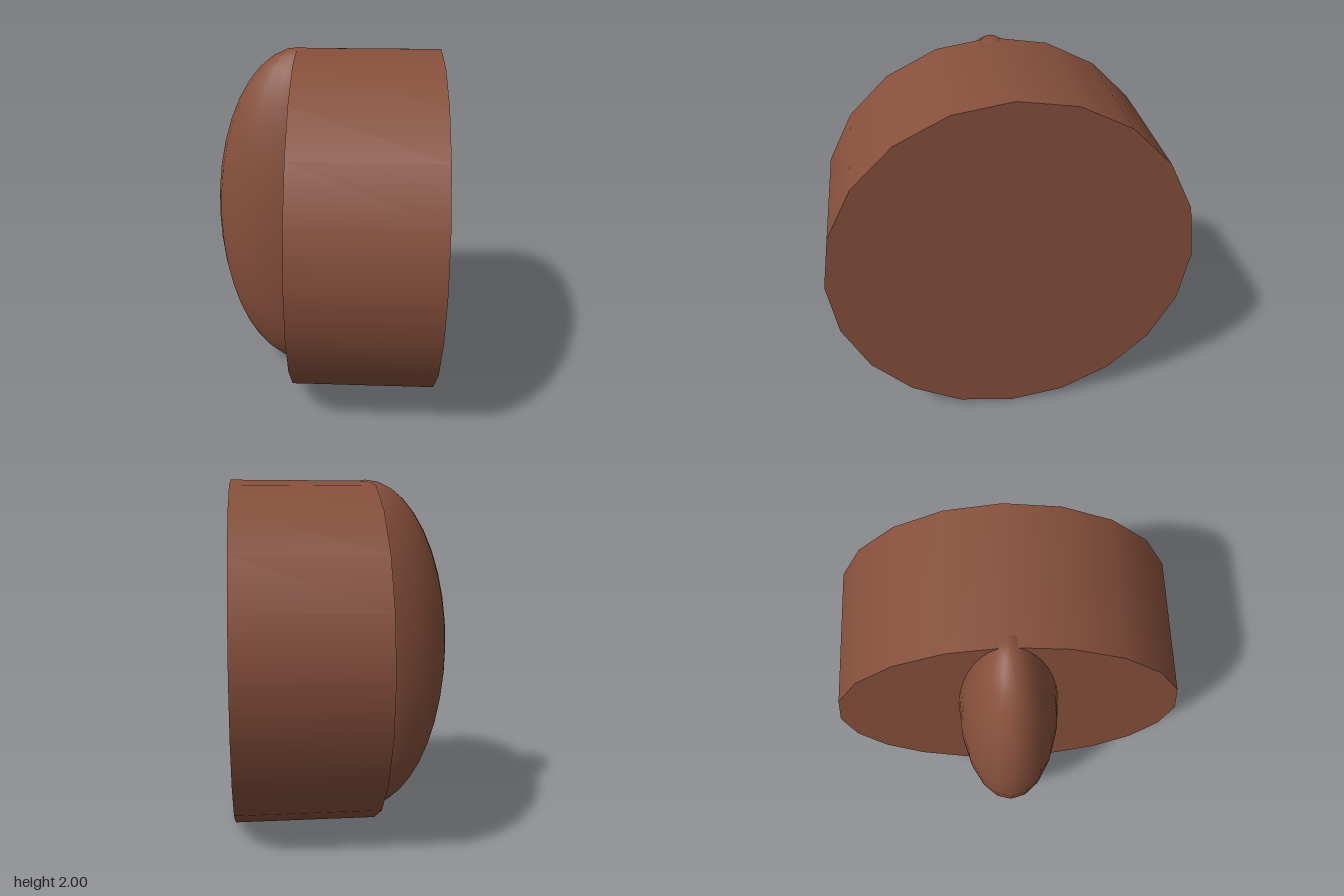
import * as THREE from 'three';

export function createModel() {
  const model = new THREE.Group();
  const brown = new THREE.MeshStandardMaterial({ color: 0x87503c });
  brown.name = 'brown';

  // Wide drum lying on its side, its axis along x
  const drum = new THREE.Mesh(new THREE.CylinderGeometry(0.997, 0.997, 0.8, 20), brown);
  drum.name = 'drum';
  drum.rotation.z = Math.PI / 2;
  drum.position.set(0.24, 0.997, 0);
  model.add(drum);

  // Narrow upright ellipsoid half sunk into the -x face
  const ridge = new THREE.Mesh(new THREE.SphereGeometry(1, 20, 20), brown);
  ridge.name = 'sideRidge';
  ridge.scale.set(0.5, 0.995, 0.29);
  ridge.position.set(-0.14, 1.005, 0);
  model.add(ridge);

  return model;
}
